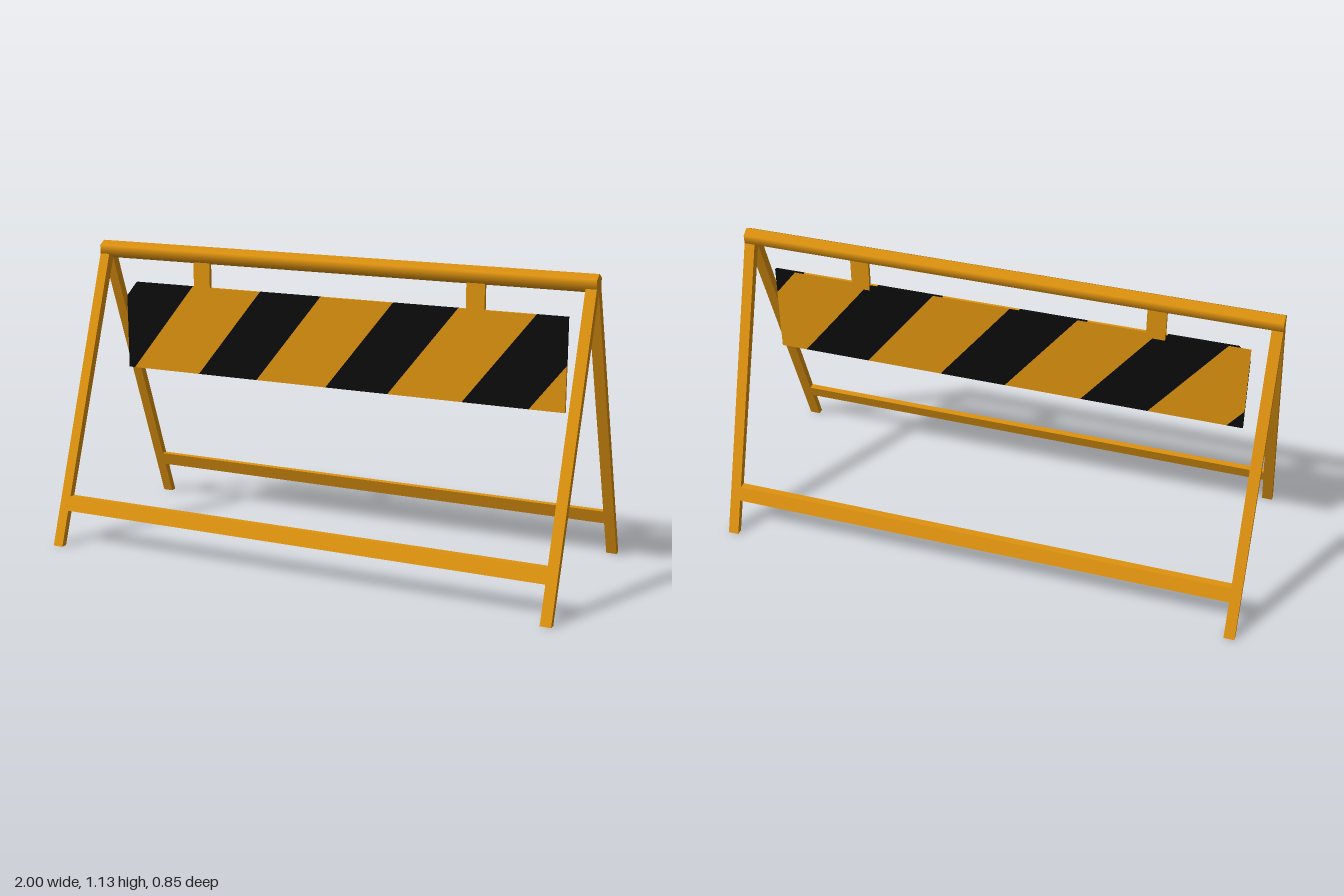
import * as THREE from 'three';

const orange = new THREE.MeshStandardMaterial({ color: 0xdf930f });
orange.name = 'safety orange';
const black = new THREE.MeshStandardMaterial({ color: 0x0b0b0b });
black.name = 'stripe black';

const toShape = (pts) => new THREE.Shape(pts.map(([a, b]) => new THREE.Vector2(a, b)));

function addMesh(parent, name, geometry, material) {
  const mesh = new THREE.Mesh(geometry, material);
  mesh.name = name;
  parent.add(mesh);
  return mesh;
}

// Prism with a (z, y) outline running from x0 to x1
function prismAlongX(pts, x0, x1) {
  const g = new THREE.ExtrudeGeometry(toShape(pts), { depth: x1 - x0, bevelEnabled: false });
  return g.rotateY(-Math.PI / 2).translate(x1, 0, 0);
}

// Trim a convex polygon to one side of a vertical line
function clip(pts, limit, sign) {
  const out = [];
  pts.forEach((p, i) => {
    const q = pts[(i + 1) % pts.length];
    const dp = sign * (p[0] - limit), dq = sign * (q[0] - limit);
    if (dp >= 0) out.push(p);
    if (dp * dq < 0) {
      const t = dp / (dp - dq);
      out.push([limit, p[1] + (q[1] - p[1]) * t]);
    }
  });
  return out;
}

// Striped panel dimensions
const HALF = 0.897, BOTTOM = 0.635, TOP = 0.978, THICK = 0.01;
const PERIOD = 0.545, BAND = 0.253, SLANT = 0.272;

// Slanted bands covering the panel; start is the lower left corner of one black band
function bands(start) {
  const list = [];
  for (let i = -1; i < 5; i++) {
    const x = start + i * PERIOD;
    for (const [a, b, material] of [[x, x + BAND, black], [x + BAND, x + PERIOD, orange]]) {
      const quad = [[a, BOTTOM], [b, BOTTOM], [b + SLANT, TOP], [a + SLANT, TOP]];
      const pts = clip(clip(quad, -HALF, 1), HALF, -1);
      if (pts.length > 2) list.push([toShape(pts), material]);
    }
  }
  return list;
}

export function createModel() {
  const model = new THREE.Group();
  model.name = 'roadBarrier';

  // Six-sided ridge bar
  const ridge = new THREE.CylinderGeometry(0.033, 0.033, 2, 6, 1, false, Math.PI / 6);
  addMesh(model, 'ridgeBar', ridge.rotateZ(Math.PI / 2).translate(0, 1.102, 0), orange);

  // Outer and inner faces of the sloping frames
  const outer = (y) => 0.425 - 0.366 * y;
  const inner = (y) => 0.4 - 0.3745 * y;

  for (const [side, s] of [['front', 1], ['back', -1]]) {
    const frame = new THREE.Group();
    frame.name = side + 'Frame';
    model.add(frame);

    const leg = [[0.4, 0], [0.425, 0], [outer(1.085), 1.085], [0, 1.1], [0, 1.068]].map(([z, y]) => [s * z, y]);
    addMesh(frame, side + 'LeftLeg', prismAlongX(leg, 0.96, 1), orange);
    addMesh(frame, side + 'RightLeg', prismAlongX(leg, -1, -0.96), orange);

    const rail = [[inner(0.132), 0.132], [outer(0.132), 0.132], [outer(0.184), 0.184], [inner(0.184), 0.184]]
      .map(([z, y]) => [s * z, y]);
    addMesh(frame, side + 'CrossRail', prismAlongX(rail, -0.96, 0.96), orange);
  }

  // Hangers holding the panel
  for (const [name, x] of [['rightHanger', -0.558], ['leftHanger', 0.555]]) {
    addMesh(model, name, new THREE.BoxGeometry(0.07, 0.135, 0.014).translate(x, 1.0225, 0), orange);
  }

  // Panel bands, with the front pattern wrapping over the edges
  const panel = new THREE.Group();
  panel.name = 'stripedPanel';
  model.add(panel);
  for (const [shape, material] of bands(-0.58)) {
    const g = new THREE.ExtrudeGeometry(shape, { depth: THICK, bevelEnabled: false });
    addMesh(panel, 'panelBand', g.translate(0, 0, -THICK / 2), material);
  }
  // The back face carries its own pattern, leaning the same way when seen from behind
  for (const [shape, material] of bands(-0.797)) {
    const g = new THREE.ShapeGeometry(shape).rotateY(Math.PI);
    addMesh(panel, 'backBand', g.translate(0, 0, -THICK / 2 - 0.001), material);
  }
  return model;
}
